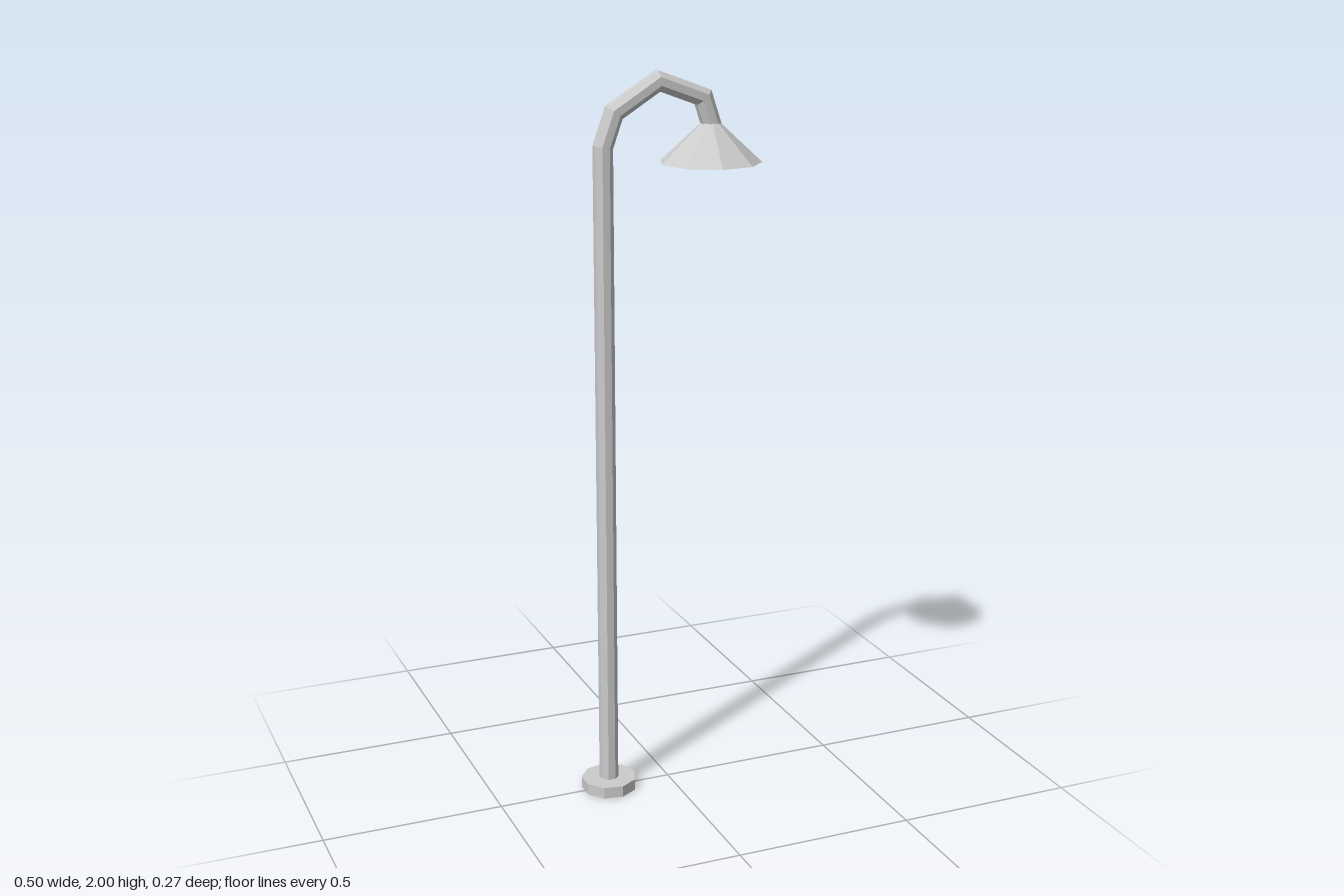
import * as THREE from 'three';

const material = new THREE.MeshStandardMaterial({
  color: 0xcccccc, flatShading: true, side: THREE.DoubleSide,
});

function addMesh(group, name, geometry) {
  const flat = geometry.index ? geometry.toNonIndexed() : geometry;
  flat.computeVertexNormals();
  const mesh = new THREE.Mesh(flat, material);
  mesh.name = name;
  group.add(mesh);
  return mesh;
}

// Nine-sided turned part; profile runs from bottom to top on the outside
function turned(profile, startAngle) {
  const points = profile.map(([r, y]) => new THREE.Vector2(r, y));
  return new THREE.LatheGeometry(points, 9, startAngle);
}

// Octagonal pipe along a path in the xy plane, mitred at every bend
function mitredPipe(path, apothem, sides = 8) {
  const pts = path.map(([x, y]) => new THREE.Vector2(x, y));
  const radius = apothem / Math.cos(Math.PI / sides);
  const positions = [];
  const index = [];
  pts.forEach((p, i) => {
    const before = p.clone().sub(pts[Math.max(i - 1, 0)]).normalize();
    const after = pts[Math.min(i + 1, pts.length - 1)].clone().sub(p).normalize();
    const tangent = before.clone().add(after).normalize();
    const stretch = 1 / tangent.dot(i === 0 ? after : before);
    for (let k = 0; k < sides; k++) {
      const a = ((k + 0.5) / sides) * Math.PI * 2;
      const across = radius * Math.cos(a) * stretch;
      positions.push(p.x + tangent.y * across, p.y - tangent.x * across, radius * Math.sin(a));
    }
  });
  for (let i = 0; i < pts.length - 1; i++) {
    for (let k = 0; k < sides; k++) {
      const a = i * sides + k;
      const b = i * sides + ((k + 1) % sides);
      index.push(a, a + sides, b, b, a + sides, b + sides);
    }
  }
  // End caps
  const last = (pts.length - 1) * sides;
  for (let k = 1; k < sides - 1; k++) {
    index.push(0, k, k + 1, last, last + k + 1, last + k);
  }
  const geometry = new THREE.BufferGeometry();
  geometry.setAttribute('position', new THREE.Float32BufferAttribute(positions, 3));
  geometry.setIndex(index);
  return geometry;
}

export function createModel() {
  const lamp = new THREE.Group();
  lamp.name = 'streetLamp';
  const poleX = -0.18;
  const shadeX = 0.121;

  // Foot: shallow cap, open underneath
  addMesh(lamp, 'base', turned([[0.077, 0], [0.077, 0.032], [0, 0.032]], Math.PI / 2))
    .position.x = poleX;

  // Upright and curved arm in one pipe
  addMesh(lamp, 'pole', mitredPipe([
    [poleX, 0.005], [poleX, 1.81], [-0.149, 1.897], [-0.027, 1.973],
    [0.099, 1.926], [0.126, 1.845],
  ], 0.0245));

  // Conical shade, open below
  addMesh(lamp, 'shade', turned([[0.137, 1.755], [0.024, 1.86], [0, 1.86]], -Math.PI / 2))
    .position.x = shadeX;

  // Bulb peeking out under the shade
  addMesh(lamp, 'bulb', turned(
    [[0, 1.74], [0.022, 1.742], [0.038, 1.757], [0.042, 1.778], [0.028, 1.81], [0, 1.825]],
    -Math.PI / 2)).position.x = shadeX;

  return lamp;
}
